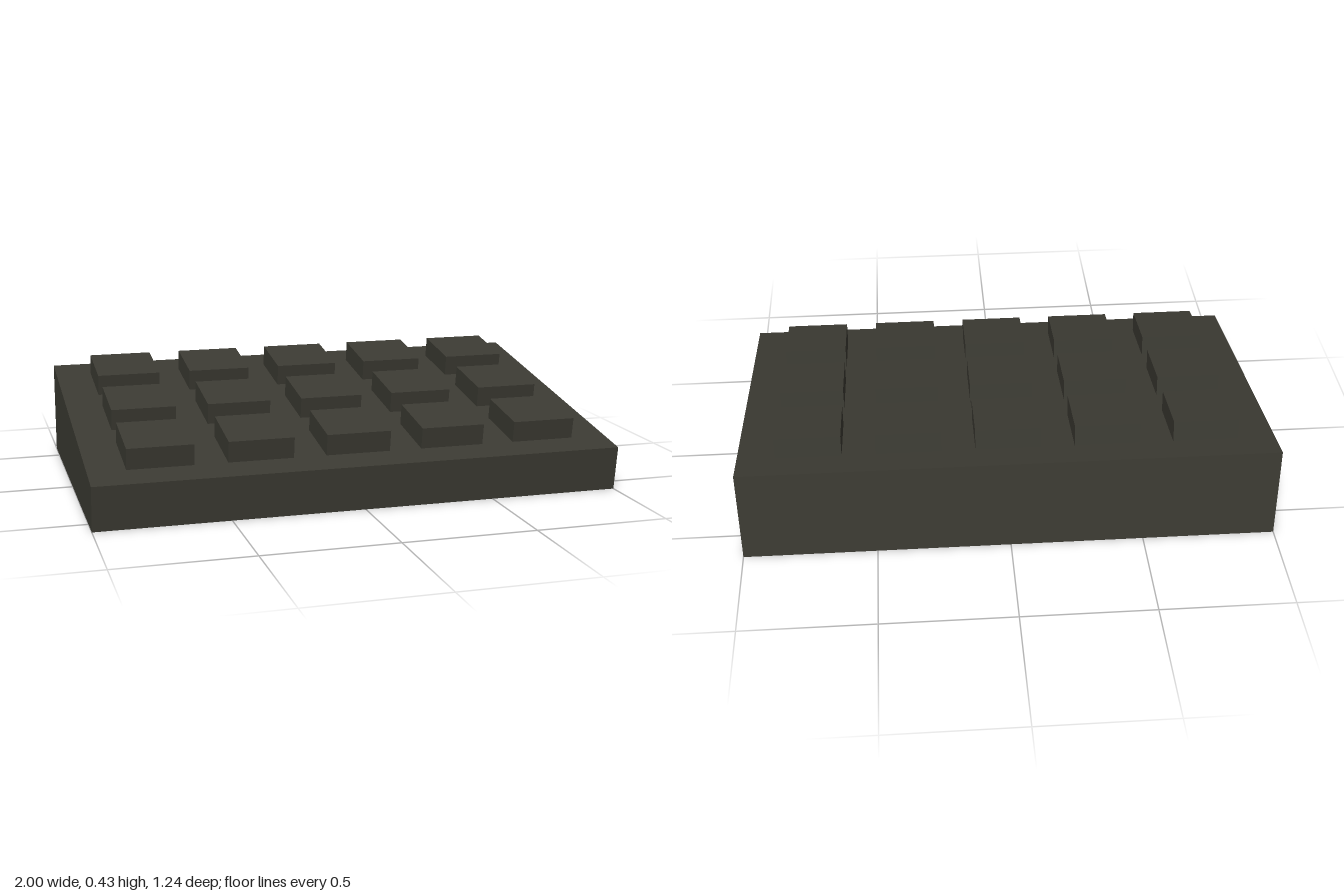
import * as THREE from 'three';

export function createModel() {
  const model = new THREE.Group();
  model.name = 'keypad';

  const plastic = new THREE.MeshStandardMaterial({ color: 0x3c3b33 });
  plastic.name = 'dark grey plastic';

  // Wedge-shaped case: side profile as (z, y), extruded along x
  const profile = new THREE.Shape([
    [0.597, 0], [0.62, 0.17], [-0.593, 0.365], [-0.62, 0],
  ].map(([z, y]) => new THREE.Vector2(z, y)));
  const caseGeometry = new THREE.ExtrudeGeometry(profile, { depth: 2, bevelEnabled: false });
  caseGeometry.rotateY(-Math.PI / 2).translate(1, 0, 0);
  const body = new THREE.Mesh(caseGeometry, plastic);
  body.name = 'case';
  model.add(body);

  // Keys: a 5 by 3 grid lying on the sloped top
  const tilt = Math.atan2(0.195, 1.213);
  const keys = new THREE.Group();
  keys.name = 'keys';
  keys.position.set(0, 0.2675, 0.0135);
  keys.rotation.x = tilt;
  model.add(keys);

  const sink = 0.01;
  const keyHeight = 0.081;
  const keyGeometry = new THREE.BoxGeometry(0.245, keyHeight + sink, 0.246);
  for (let row = -1; row <= 1; row++) {
    for (let column = -2; column <= 2; column++) {
      const key = new THREE.Mesh(keyGeometry, plastic);
      key.name = 'key';
      key.position.set(column * 0.369, (keyHeight - sink) / 2, row * 0.371);
      keys.add(key);
    }
  }

  return model;
}
